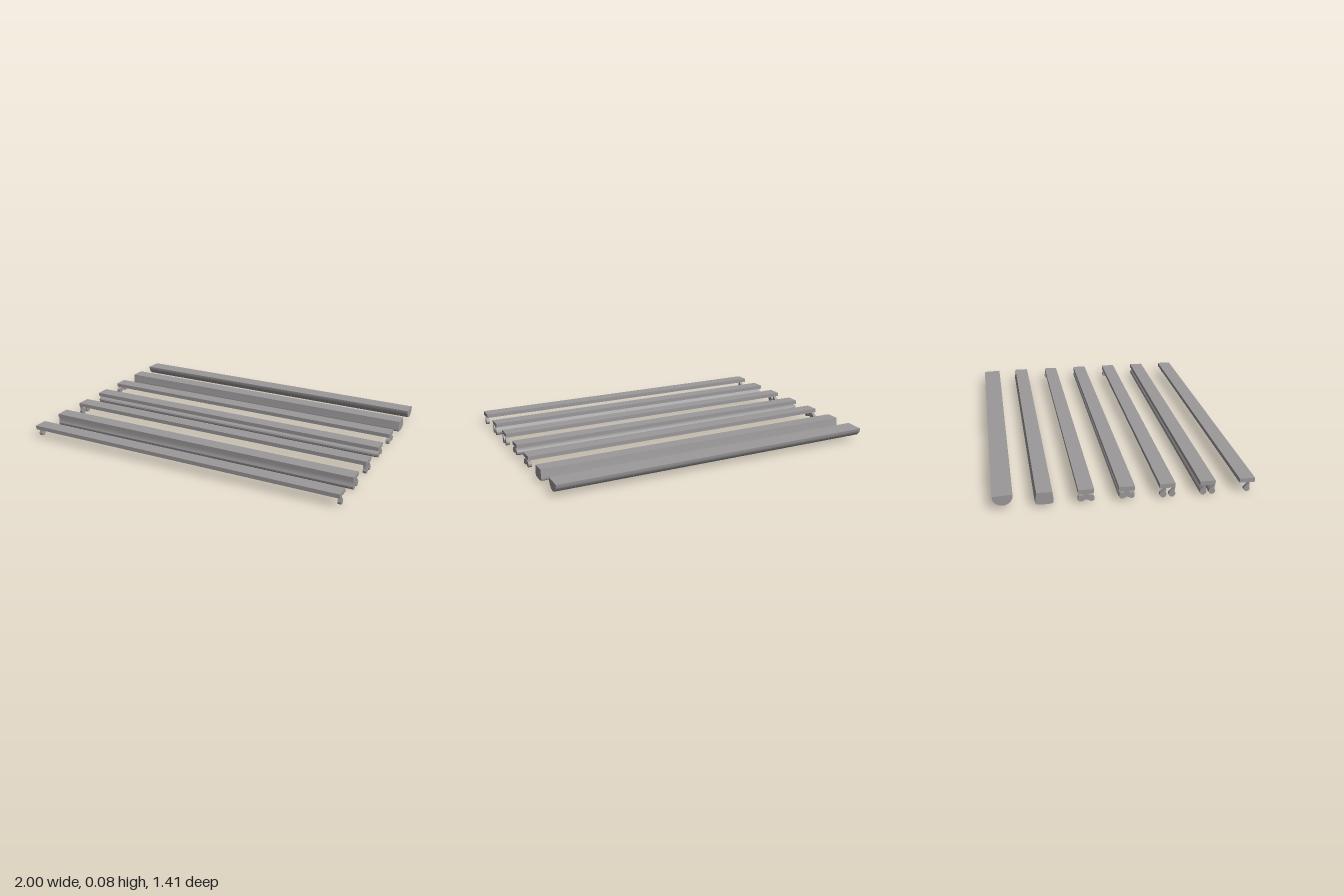
import * as THREE from 'three';
import { toCreasedNormals } from 'three/addons/utils/BufferGeometryUtils.js';

const TOP = 0.079, PLATE = 0.055; // top face and underside of the flat strips

export function createModel() {
  const model = new THREE.Group();
  const grey = new THREE.MeshStandardMaterial({ color: 0x9c999b });
  grey.name = 'grey';

  // Extrude a (z, y) profile along x; taper narrows the last 0.03 of each end
  function bar(parent, name, shape, x0, x1, z, taper = 1) {
    const length = x1 - x0;
    const geo = new THREE.ExtrudeGeometry(shape, {
      depth: length, bevelEnabled: false, curveSegments: 14,
      steps: taper < 1 ? Math.round(length / 0.03) : 1,
    });
    geo.rotateY(-Math.PI / 2).translate(x1, 0, 0);
    if (taper < 1) {
      const p = geo.attributes.position;
      for (let i = 0; i < p.count; i++) {
        if (Math.abs(p.getX(i)) > 0.985) p.setZ(i, p.getZ(i) * taper);
      }
    }
    const mesh = new THREE.Mesh(toCreasedNormals(geo, 0.6), grey);
    mesh.name = name;
    mesh.position.z = z;
    parent.add(mesh);
  }

  // Flat strip
  const plate = new THREE.Shape([
    [-0.0425, PLATE], [0.0425, PLATE], [0.0425, TOP], [-0.0425, TOP],
  ].map(([a, b]) => new THREE.Vector2(a, b)));

  // Straight leg ending in a round bulb
  function leg(c, r, neck) {
    const s = new THREE.Shape();
    const a = Math.acos(neck / r);
    s.moveTo(c - neck, PLATE);
    s.absarc(c, 0.018, r, Math.PI - a, Math.PI * 2 + a, false);
    s.lineTo(c + neck, PLATE);
    s.closePath();
    return s;
  }

  // Short neck splitting into two spread arms with round tips
  function spreadFoot() {
    const s = new THREE.Shape();
    const d = Math.PI / 180;
    s.moveTo(0.013, PLATE);
    s.lineTo(0.012, 0.046);
    s.absarc(0.028, 0.027, 0.017, 100 * d, -110 * d, true);
    s.lineTo(0, 0.022);
    s.absarc(-0.028, 0.027, 0.017, -70 * d, -280 * d, true);
    s.lineTo(-0.012, 0.046);
    s.lineTo(-0.013, PLATE);
    s.closePath();
    return s;
  }

  // Strips with feet: either along the full length or only at both ends
  const twin = [leg(-0.0245, 0.018, 0.014), leg(0.0245, 0.018, 0.014)];
  const strips = [
    { name: 'singleLegStrip', z: 0.663, feet: [leg(0, 0.0165, 0.013)], full: false },
    { name: 'twinLegStrip', z: 0.444, feet: twin, full: true },
    { name: 'twinClipStrip', z: 0.224, feet: twin, full: false },
    { name: 'spreadFootStrip', z: 0.004, feet: [spreadFoot()], full: true, taper: 0.92 },
    { name: 'spreadClipStrip', z: -0.214, feet: [spreadFoot()], full: false },
  ];
  for (const { name, z, feet, full, taper } of strips) {
    const group = new THREE.Group();
    group.name = name;
    bar(group, 'plate', plate, -1, 1, z);
    for (const foot of feet) {
      if (full) bar(group, 'foot', foot, -1, 1, z, taper);
      else {
        bar(group, 'endFoot', foot, -1, -0.98, z);
        bar(group, 'endFoot', foot, 0.98, 1, z);
      }
    }
    model.add(group);
  }

  // Solid bar with flared sides and rounded lower edges
  const flared = new THREE.Shape();
  flared.moveTo(-0.043, TOP);
  flared.lineTo(-0.049, 0.032);
  flared.quadraticCurveTo(-0.053, 0.014, -0.04, 0.013);
  flared.quadraticCurveTo(0, 0.007, 0.04, 0.013);
  flared.quadraticCurveTo(0.053, 0.014, 0.049, 0.032);
  flared.lineTo(0.043, TOP);
  flared.closePath();
  bar(model, 'flaredBar', flared, -1, 1, -0.434, 0.97);

  // Half-round bar, flat side up
  const half = new THREE.Shape();
  half.moveTo(-0.0545, TOP);
  half.absarc(0, 0.0745, 0.0545, Math.PI, Math.PI * 2, false);
  half.lineTo(0.0545, TOP);
  half.closePath();
  bar(model, 'halfRoundBar', half, -1, 0.995, -0.652);

  return model;
}
